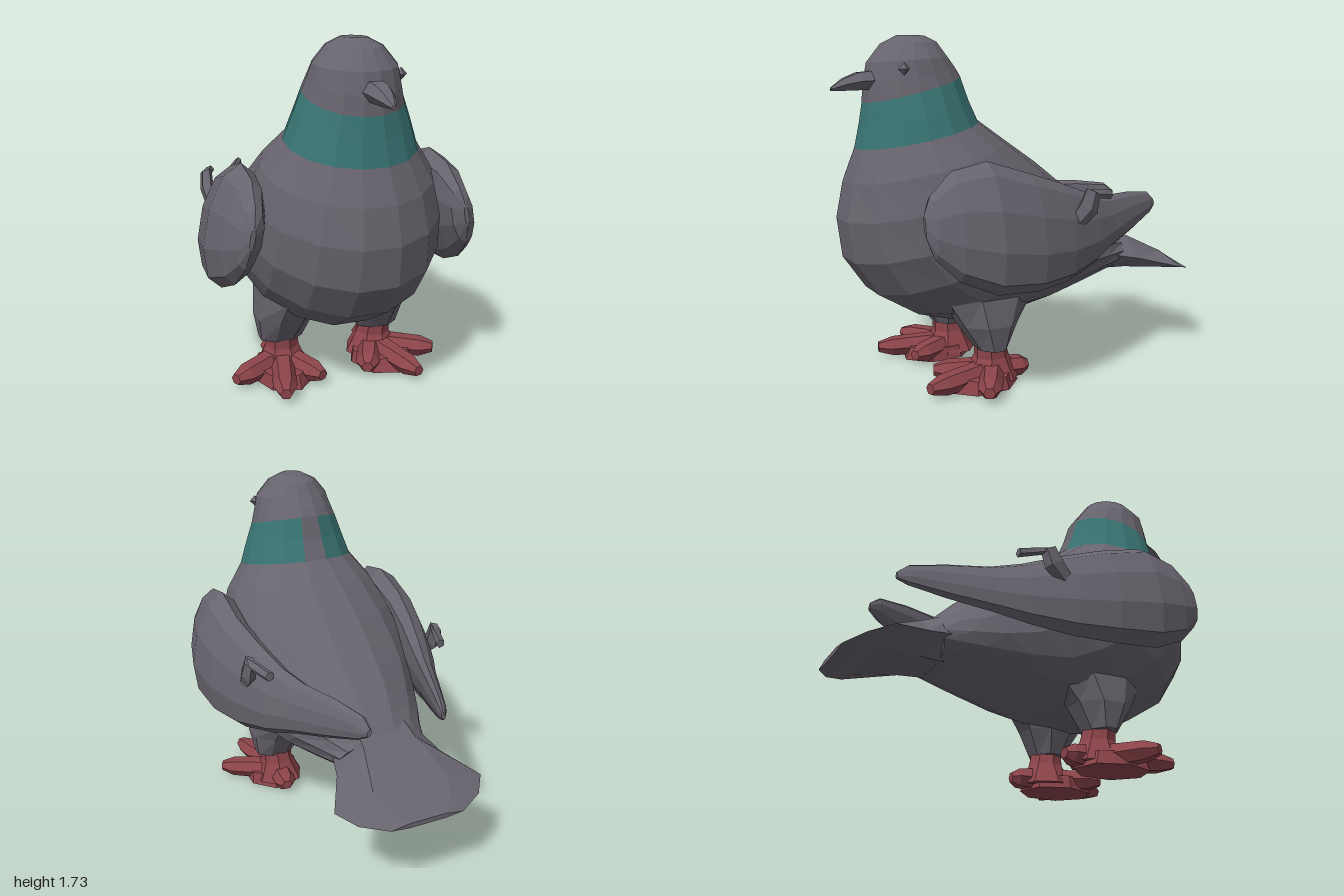
import * as THREE from 'three';

const V = (x, y, z) => new THREE.Vector3(x, y, z);
const material = (name, color) => {
  const m = new THREE.MeshStandardMaterial({ color });
  m.name = name;
  return m;
};

// Faceted loft through closed rings, capped at both ends, always facing outward.
// pick(ring, segment) chooses the material index of each strip.
function loft(rings, pick = () => 0) {
  const buckets = [[], []];
  const n = rings[0].length;
  const quad = (a, b, c, d, k) => buckets[k].push([a, b, c], [a, c, d]);
  for (let i = 0; i < rings.length - 1; i++) {
    for (let j = 0; j < n; j++) {
      const k = (j + 1) % n;
      quad(rings[i][j], rings[i][k], rings[i + 1][k], rings[i + 1][j], pick(i, j));
    }
  }
  [[rings[0], true], [rings[rings.length - 1], false]].forEach(([r, first]) => {
    const c = r.reduce((s, p) => s.add(p), V(0, 0, 0)).divideScalar(n);
    for (let j = 0; j < n; j++) {
      const k = (j + 1) % n;
      buckets[0].push(first ? [c, r[k], r[j]] : [c, r[j], r[k]]);
    }
  });
  const tris = buckets.flat();
  const volume = tris.reduce((s, [a, b, c]) => s + a.dot(b.clone().cross(c)), 0);
  const points = tris.flatMap((t) => (volume < 0 ? [t[0], t[2], t[1]] : t));
  const geo = new THREE.BufferGeometry().setFromPoints(points);
  geo.addGroup(0, buckets[0].length * 3, 0);
  if (buckets[1].length) geo.addGroup(buckets[0].length * 3, buckets[1].length * 3, 1);
  geo.computeVertexNormals();
  return geo;
}

// Ring of n points about a centre, spanned by two half axes
function ring(c, u, v, n, offset = 0) {
  return Array.from({ length: n }, (_, j) => {
    const a = ((j + offset) / n) * Math.PI * 2;
    return c.clone().addScaledVector(u, Math.cos(a)).addScaledVector(v, Math.sin(a));
  });
}

export function createModel() {
  const grey = material('slate grey plumage', 0x68646e);
  const teal = material('teal neck', 0x387372);
  const red = material('dull red feet', 0x8c444a);
  const model = new THREE.Group();
  const add = (name, geo, mat, parent = model) => {
    const m = new THREE.Mesh(geo, mat);
    m.name = name;
    parent.add(m);
    return m;
  };

  // Body: rings fan from the crown to the rump
  // [front z, front y, back z, back y, half width]
  const bodyRows = [
    [0.66, 1.73, 0.52, 1.73, 0.06], [0.74, 1.69, 0.46, 1.7, 0.13],
    [0.81, 1.6, 0.41, 1.63, 0.195], [0.83, 1.5, 0.37, 1.58, 0.215],
    [0.835, 1.41, 0.345, 1.54, 0.235], [0.85, 1.31, 0.31, 1.43, 0.275],
    [0.875, 1.19, 0.26, 1.32, 0.315], [0.935, 1.03, 0.12, 1.22, 0.41],
    [0.97, 0.85, -0.07, 1.09, 0.47], [0.945, 0.65, -0.2, 0.99, 0.495],
    [0.83, 0.48, -0.3, 0.92, 0.49], [0.62, 0.35, -0.38, 0.86, 0.455],
    [0.4, 0.285, -0.44, 0.81, 0.41], [0.1, 0.32, -0.5, 0.75, 0.36],
    [-0.2, 0.385, -0.54, 0.71, 0.3], [-0.5, 0.46, -0.58, 0.66, 0.24],
  ];
  const sides = 16;
  const bodyRings = bodyRows.map(([fz, fy, bz, by, w]) =>
    ring(V(0, (fy + by) / 2, (fz + bz) / 2), V(0, (fy - by) / 2, (fz - bz) / 2), V(w, 0, 0), sides, 0.5));
  // Teal collar, open at the nape
  const collar = (i, j) => ((i === 4 || i === 5) && j !== sides / 2 - 1 ? 1 : 0);
  add('body', loft(bodyRings, collar), [grey, teal]);

  // Beak: [z, top, bottom, half width]
  const beak = [[0.78, 1.57, 1.465, 0.07], [0.87, 1.56, 1.465, 0.06],
    [0.94, 1.53, 1.465, 0.042], [1.0, 1.485, 1.468, 0.01]];
  add('beak', loft(beak.map(([z, t, b, w]) =>
    ring(V(0.015, (t + b) / 2, z), V(w, 0, 0), V(0, (t - b) / 2, 0), 6))), grey);

  // Small brow ridge on the left of the head
  const brow = add('brow', new THREE.OctahedronGeometry(0.03), grey);
  brow.position.set(0.185, 1.57, 0.7);

  // Fan tail: [z, top, bottom, half width]
  const tail = [[-0.42, 0.74, 0.47, 0.23], [-0.62, 0.65, 0.465, 0.285],
    [-0.83, 0.545, 0.45, 0.395], [-0.93, 0.49, 0.437, 0.32], [-1.0, 0.455, 0.43, 0.19]];
  add('tail', loft(tail.map(([z, t, b, w]) => {
    const m = b + (t - b) * 0.4;
    return [V(w, m, z), V(w * 0.5, t, z), V(-w * 0.5, t, z),
      V(-w, m, z), V(-w * 0.5, b, z), V(w * 0.5, b, z)];
  })), grey);

  // Wing sections: [z, top, bottom, middle x, half thickness]
  const wingRows = [
    [0.757, 0.94, 0.84, 0.525, 0.012], [0.72, 1.02, 0.74, 0.525, 0.06],
    [0.61, 1.12, 0.63, 0.53, 0.095], [0.43, 1.155, 0.55, 0.54, 0.125],
    [0.2, 1.085, 0.535, 0.53, 0.115], [0, 1.02, 0.55, 0.485, 0.1],
    [-0.2, 0.95, 0.6, 0.42, 0.08], [-0.35, 0.92, 0.655, 0.36, 0.06],
    [-0.55, 0.915, 0.715, 0.28, 0.045], [-0.72, 0.895, 0.775, 0.215, 0.03],
    [-0.775, 0.85, 0.81, 0.195, 0.012],
  ];
  // Toe directions from the ankle: [x, z]
  const toes = [[0.29, 0.17], [0.1, 0.39], [-0.13, 0.27], [0.02, -0.19]];

  for (const s of [1, -1]) {
    const side = s > 0 ? 'left' : 'right';

    const wing = new THREE.Group();
    wing.name = side + 'Wing';
    model.add(wing);
    add('wingFeathers', loft(wingRows.map(([z, t, b, x, w]) => {
      const h = (t - b) / 2;
      return ring(V(s * x, (t + b) / 2, z), V(-s * 0.18 * h, h, 0), V(s * w, 0, 0), 10);
    })), grey, wing);
    // Small tufts at the wing's bend
    add('wingTuft', loft([
      ring(V(s * 0.53, 0.82, -0.02), V(0.025, 0, 0), V(0, 0.02, 0.04), 5),
      ring(V(s * 0.535, 0.9, -0.1), V(0.035, 0, 0), V(0, 0.03, 0.05), 5),
      ring(V(s * 0.53, 0.98, -0.13), V(0.03, 0, 0), V(0, 0.02, 0.04), 5),
    ]), grey, wing);
    add('wingTuftTip', loft([
      ring(V(s * 0.53, 0.97, -0.13), V(0.025, 0, 0), V(0, 0.025, 0.03), 5),
      ring(V(s * 0.48, 0.95, -0.27), V(0.025, 0, 0), V(0, 0.025, 0), 5),
    ]), grey, wing);

    const leg = new THREE.Group();
    leg.name = side + 'Leg';
    model.add(leg);
    // Thigh: [y, x, z, half width x, half depth z]
    const limb = (rows, n) => loft(rows.map(([y, x, z, w, d]) =>
      ring(V(s * x, y, z), V(w, 0, 0), V(0, 0, d), n, 0.5)));
    add('thigh', limb([[0.46, 0.23, 0.3, 0.16, 0.26], [0.32, 0.25, 0.31, 0.155, 0.16],
      [0.19, 0.265, 0.3, 0.115, 0.08]], 8), grey, leg);
    add('ankle', limb([[0.21, 0.26, 0.3, 0.085, 0.08], [0.14, 0.255, 0.29, 0.09, 0.09],
      [0.03, 0.25, 0.29, 0.14, 0.15]], 7), red, leg);

    // Toes swell at the knuckle and end bluntly
    for (const [dx, dz] of toes) {
      const across = V(-s * dz, 0, dx * 1).normalize();
      across.set(dz, 0, -s * dx).normalize();
      const steps = [[0, 0.07, 0.065], [0.45, 0.062, 0.058], [0.8, 0.06, 0.052], [1, 0.03, 0.028]];
      add('toe', loft(steps.map(([t, w, h]) => ring(
        V(s * (0.25 + dx * t), 0.062, 0.28 + dz * t),
        across.clone().multiplyScalar(w), V(0, h, 0), 6))), red, leg);
    }
    // Web under the toes
    add('sole', limb([[0.07, 0.27, 0.36, 0.15, 0.17], [0.004, 0.27, 0.36, 0.16, 0.2]], 7), red, leg);
  }
  return model;
}
